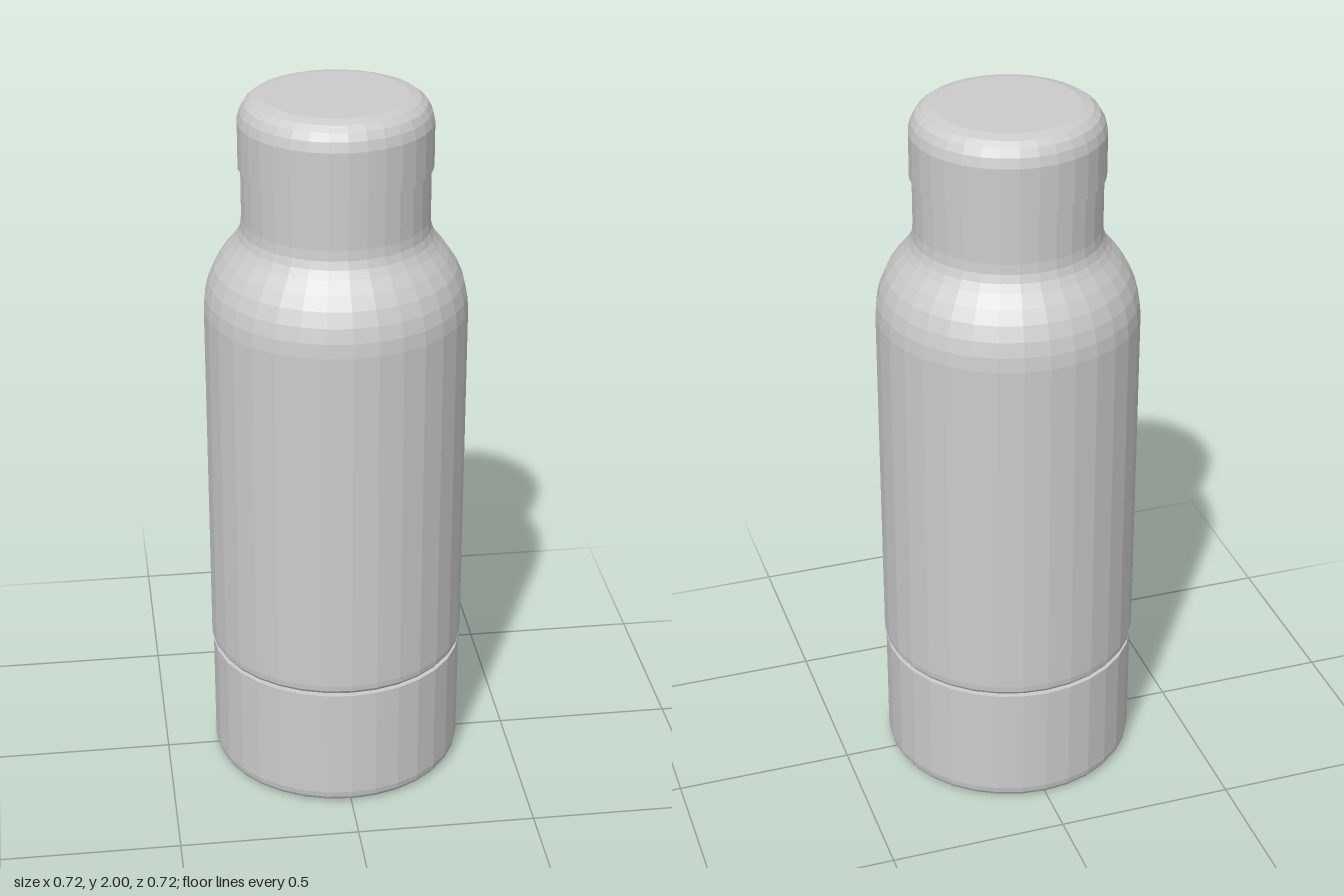
import * as THREE from 'three';

const SIDES = 32;
const material = new THREE.MeshStandardMaterial({ color: 0xcccccc, flatShading: true });

// Turn a [radius, height] profile, listed from bottom to top, into a faceted solid
function turned(name, profile) {
  const points = profile.map(([r, y]) => new THREE.Vector2(r, y));
  const mesh = new THREE.Mesh(new THREE.LatheGeometry(points, SIDES), material);
  mesh.name = name;
  return mesh;
}

export function createModel() {
  const bottle = new THREE.Group();
  bottle.name = 'bottle';

  // Base cup with a small rounded foot
  bottle.add(turned('baseCup', [
    [0, 0], [0.335, 0], [0.347, 0.007], [0.354, 0.018], [0.357, 0.035],
    [0.357, 0.36], [0, 0.36],
  ]));

  // Main body: rounded lower edge, straight wall, domed shoulder, filleted neck
  bottle.add(turned('body', [
    [0, 0.362], [0.34, 0.362], [0.352, 0.368], [0.359, 0.378], [0.361, 0.395],
    [0.361, 1.4], [0.357, 1.44], [0.347, 1.48], [0.33, 1.52], [0.307, 1.555],
    [0.28, 1.588], [0.266, 1.61], [0.258, 1.632], [0.255, 1.66],
    [0.255, 1.81], [0, 1.81],
  ]));

  // Lid slightly wider than the neck, with a rounded top edge
  bottle.add(turned('lid', [
    [0, 1.805], [0.262, 1.805], [0.262, 1.93], [0.255, 1.957],
    [0.243, 1.978], [0.225, 1.992], [0.194, 2], [0, 2],
  ]));

  return bottle;
}
